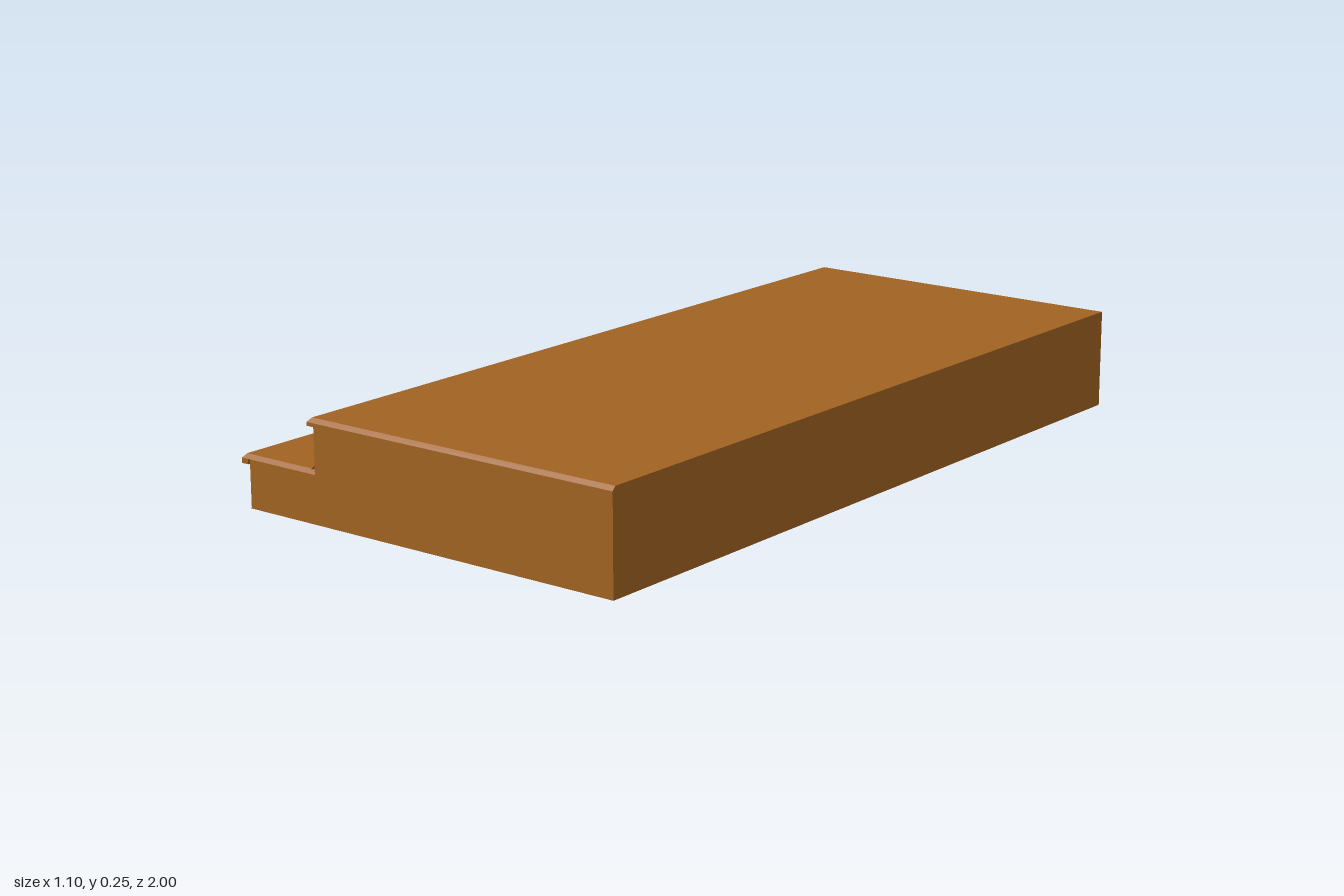
import * as THREE from 'three';

const wood = new THREE.MeshStandardMaterial({ color: 0xa06222, side: THREE.DoubleSide, flatShading: true });
wood.name = 'brown wood';

const END = 0.552, RISER_TOP = -0.317, RISER_LOW = -0.532, BEVEL = 0.006;

function add(group, name, geometry) {
  const mesh = new THREE.Mesh(geometry, wood);
  mesh.name = name;
  group.add(mesh);
  return mesh;
}

// Flat panel from four corners in order
function quad(a, b, c, d) {
  const g = new THREE.BufferGeometry();
  g.setAttribute('position', new THREE.Float32BufferAttribute([a, b, c, a, c, d].flat(), 3));
  g.computeVertexNormals();
  return g;
}

// Board whose top edge is chamfered on the chosen sides
function board(x0, x1, y0, y1, cutLeft, cutFront, cutBack) {
  const cut = 0.009;
  const g = new THREE.BoxGeometry(x1 - x0, y1 - y0, 2);
  g.translate((x0 + x1) / 2, (y0 + y1) / 2, 0);
  const p = g.attributes.position;
  for (let i = 0; i < p.count; i++) {
    if (p.getY(i) < (y0 + y1) / 2) continue;
    if (cutLeft && p.getX(i) < (x0 + x1) / 2) p.setX(i, x0 + cut);
    if (cutFront && p.getZ(i) > 0) p.setZ(i, 1 - cut);
    if (cutBack && p.getZ(i) < 0) p.setZ(i, -1 + cut);
  }
  g.computeVertexNormals();
  return g;
}

// Strip running the full depth
function strip(x0, x1, y0, y1) {
  return new THREE.BoxGeometry(x1 - x0, y1 - y0, 2).translate((x0 + x1) / 2, (y0 + y1) / 2, 0);
}

export function createModel() {
  const model = new THREE.Group();
  model.name = 'steppedPlatform';

  // Platform deck and step tread, each with a nosing below its edge
  add(model, 'deck', board(-0.338, END, 0.239, 0.249, true, true, false));
  add(model, 'deckNosing', strip(-0.338, RISER_TOP, 0.23, 0.239));
  add(model, 'stepTread', board(-END, RISER_TOP, 0.118, 0.128, true, true, true));
  add(model, 'stepNosing', strip(-END, RISER_LOW, 0.105, 0.118));

  // Risers and the small fillet where tread meets riser
  const z = 1 - BEVEL;
  add(model, 'upperRiser', quad([RISER_TOP, 0.118, -1], [RISER_TOP, 0.118, 1], [RISER_TOP, 0.239, 1], [RISER_TOP, 0.239, -1]));
  add(model, 'lowerRiser', quad([RISER_LOW, 0, -z], [RISER_LOW, 0, z], [RISER_LOW, 0.118, z], [RISER_LOW, 0.118, -z]));
  add(model, 'riserFillet', quad([-0.329, 0.128, -1], [-0.329, 0.128, 1], [RISER_TOP, 0.14, 1], [RISER_TOP, 0.14, -1]));

  // Hollow shell: stepped end walls with bevelled corners
  const side = new THREE.Shape([
    [RISER_LOW + BEVEL, 0], [END, 0], [END, 0.239], [RISER_TOP, 0.239],
    [RISER_TOP, 0.118], [RISER_LOW + BEVEL, 0.118],
  ].map(([x, y]) => new THREE.Vector2(x, y)));
  for (const s of [1, -1]) {
    const wall = add(model, s > 0 ? 'frontWall' : 'backWall', new THREE.ShapeGeometry(side));
    wall.position.z = s;
    const a = [RISER_LOW, 0, s * z], b = [RISER_LOW + BEVEL, 0, s];
    const c = [b[0], 0.118, s], d = [a[0], 0.118, s * z];
    add(model, 'cornerBevel', s > 0 ? quad(a, b, c, d) : quad(b, a, d, c));
  }

  // Long wall, and the base panel under the step only
  add(model, 'longWall', quad([END, 0, 1], [END, 0, -1], [END, 0.239, -1], [END, 0.239, 1]));
  add(model, 'stepBase', quad([RISER_LOW, 0, -1], [RISER_TOP, 0, -1], [RISER_TOP, 0, 1], [RISER_LOW, 0, 1]));
  return model;
}
